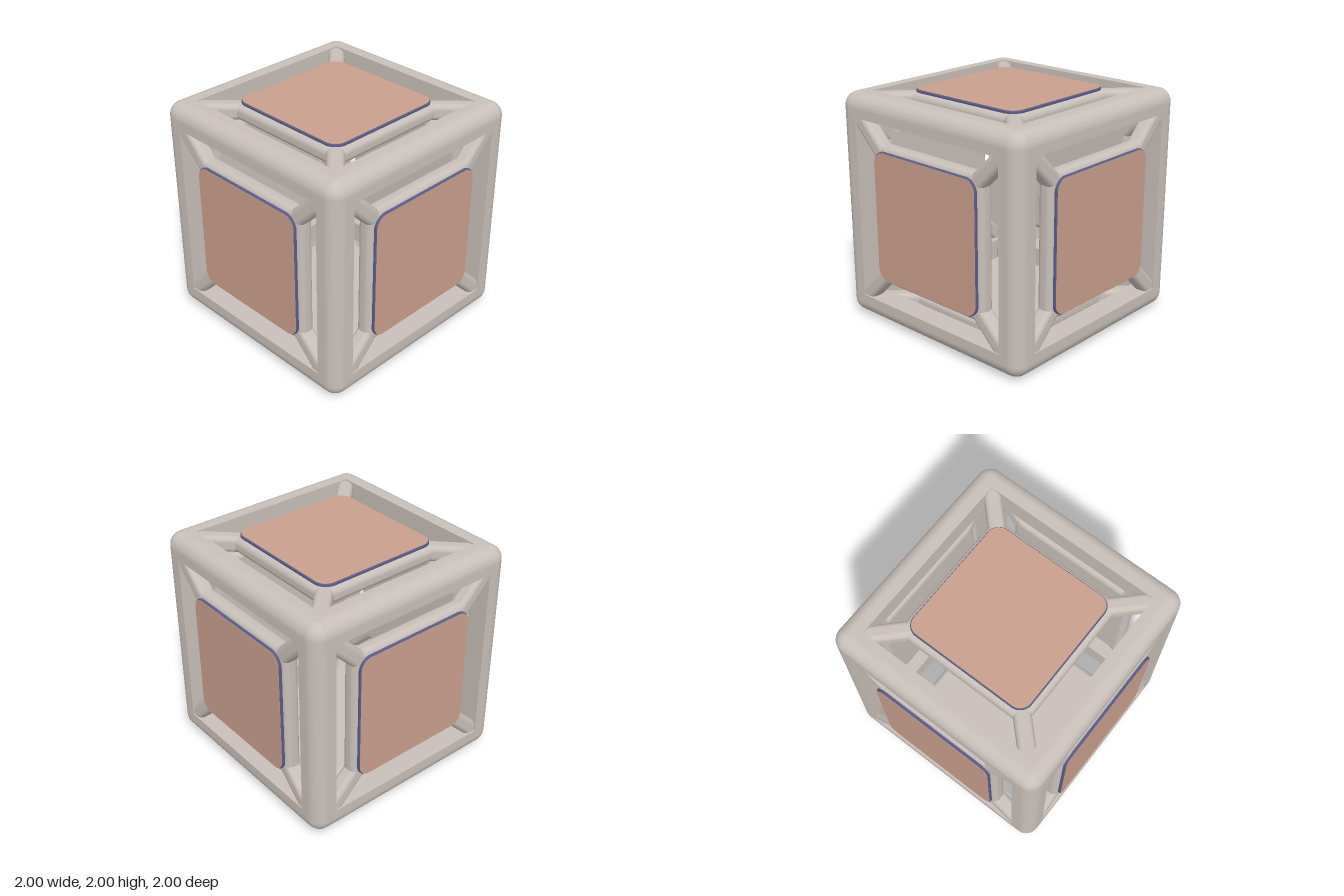
import * as THREE from 'three';
import { toCreasedNormals } from 'three/addons/utils/BufferGeometryUtils.js';
import { RoundedBoxGeometry } from 'three/addons/geometries/RoundedBoxGeometry.js';

const OUT = 0.985;   // frame half size
const INN = 0.79;    // opening half size
const R = 0.12;      // outer fillet of the frame

function material(name, color) {
  const m = new THREE.MeshStandardMaterial({ color });
  m.name = name;
  return m;
}

function addMesh(parent, name, geometry, mat) {
  const mesh = new THREE.Mesh(geometry, mat);
  mesh.name = name;
  parent.add(mesh);
  return mesh;
}

// Square with rounded corners, centred on the origin
function roundedSquare(h, r) {
  const s = new THREE.Shape();
  s.absarc(h - r, h - r, r, 0, Math.PI / 2);
  s.absarc(r - h, h - r, r, Math.PI / 2, Math.PI);
  s.absarc(r - h, r - h, r, Math.PI, Math.PI * 1.5);
  s.absarc(h - r, r - h, r, Math.PI * 1.5, Math.PI * 2);
  s.closePath();
  return s;
}

// Bar along z: square section with only its outer edge rounded
function barGeometry() {
  const s = new THREE.Shape();
  s.moveTo(INN, INN);
  s.lineTo(OUT, INN);
  s.lineTo(OUT, OUT - R);
  s.absarc(OUT - R, OUT - R, R, 0, Math.PI / 2);
  s.lineTo(INN, OUT);
  s.closePath();
  const length = 2 * (OUT - R);
  const g = new THREE.ExtrudeGeometry(s, { depth: length, bevelEnabled: false, curveSegments: 10 });
  g.translate(0, 0, -length / 2);
  return toCreasedNormals(g, 0.5);
}

function createFrame(grey) {
  const frame = new THREE.Group();
  frame.name = 'frame';
  const bar = barGeometry();
  // Four bars along each axis
  for (const [rx, ry] of [[0, 0], [Math.PI / 2, 0], [0, Math.PI / 2]]) {
    const set = new THREE.Group();
    set.name = 'barSet';
    set.rotation.set(rx, ry, 0);
    for (let k = 0; k < 4; k++) addMesh(set, 'frameBar', bar, grey).rotation.z = k * Math.PI / 2;
    frame.add(set);
  }
  // Spherical corners
  const ball = new THREE.SphereGeometry(R, 40, 20);
  const c = OUT - R;
  for (const x of [-c, c]) for (const y of [-c, c]) for (const z of [-c, c]) {
    addMesh(frame, 'frameCorner', ball, grey).position.set(x, y, z);
  }
  return frame;
}

// One side, facing +z
function createSide(grey, clay, blue) {
  const side = new THREE.Group();
  side.name = 'side';

  // Backing plate with soft edges
  addMesh(side, 'backingPlate', new RoundedBoxGeometry(1.22, 1.22, 0.14, 5, 0.055), grey).position.z = 0.905;

  // Diagonal struts to the frame corners
  const a = 0.5, b = 0.84, mid = (a + b) / 2;
  const strut = new RoundedBoxGeometry((b - a) * Math.SQRT2, 0.14, 0.14, 4, 0.045);
  for (let k = 0; k < 4; k++) {
    const angle = Math.PI / 4 + k * Math.PI / 2;
    const mesh = addMesh(side, 'strut', strut, grey);
    mesh.position.set(mid * Math.SQRT2 * Math.cos(angle), mid * Math.SQRT2 * Math.sin(angle), 0.905);
    mesh.rotation.z = angle;
  }

  // Dark rim with a small chamfer
  const rim = new THREE.ExtrudeGeometry(roundedSquare(0.56, 0.1), {
    depth: 0.03, bevelThickness: 0.008, bevelSize: 0.008, bevelSegments: 1, curveSegments: 10,
  });
  rim.translate(0, 0, 0.959);
  addMesh(side, 'panelRim', toCreasedNormals(rim, 0.5), blue);

  // Coloured panel face
  const face = new THREE.ExtrudeGeometry(roundedSquare(0.56, 0.1), {
    depth: 0.005, bevelEnabled: false, curveSegments: 10,
  });
  face.translate(0, 0, 0.995);
  addMesh(side, 'panelFace', toCreasedNormals(face, 0.5), clay);
  return side;
}

export function createModel() {
  const grey = material('warm grey', 0xc8bfb9);
  const clay = material('clay pink', 0xc99f8d);
  const blue = material('slate blue', 0x595b85);

  const model = new THREE.Group();
  model.name = 'openCube';
  model.add(createFrame(grey));

  // The same side on all six faces
  const q = Math.PI / 2;
  for (const [rx, ry] of [[0, 0], [0, q], [0, 2 * q], [0, -q], [q, 0], [-q, 0]]) {
    const side = createSide(grey, clay, blue);
    side.rotation.set(rx, ry, 0);
    model.add(side);
  }
  for (const child of model.children) child.position.y = 1;
  return model;
}
